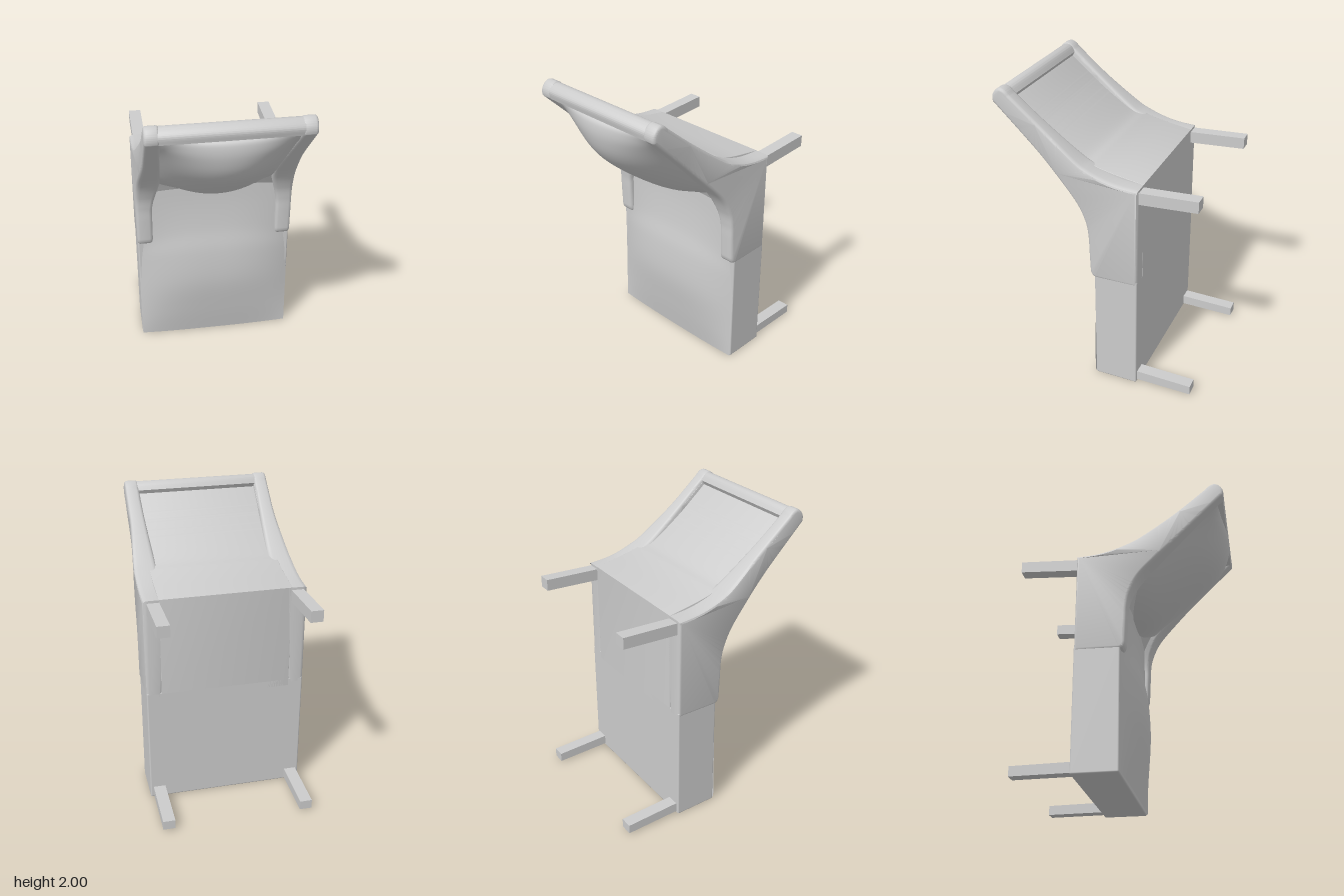
import * as THREE from 'three';
import { toCreasedNormals } from 'three/addons/utils/BufferGeometryUtils.js';
import { RoundedBoxGeometry } from 'three/addons/geometries/RoundedBoxGeometry.js';

const { lerp, smoothstep } = THREE.MathUtils;
const vecs = (pts) => pts.map(([z, y]) => new THREE.Vector2(z, y));
const spline = (pts) => new THREE.SplineCurve(vecs(pts));

export function createModel() {
  const group = new THREE.Group();
  const material = new THREE.MeshStandardMaterial({ color: 0xcccccc });
  const softMaterial = new THREE.MeshStandardMaterial({ color: 0xcccccc, side: THREE.DoubleSide });

  const add = (name, geometry, mat = material) => {
    const mesh = new THREE.Mesh(geometry, mat);
    mesh.name = name;
    group.add(mesh);
    return mesh;
  };

  // Side profile (z, y) swept across x, centred on x = 0
  const sweep = (shape, width, bevel) => {
    const geo = new THREE.ExtrudeGeometry(shape, {
      depth: width - 2 * bevel, bevelThickness: bevel, bevelSize: bevel,
      bevelOffset: -bevel, bevelSegments: 3, curveSegments: 24,
    });
    geo.translate(0, 0, bevel - width / 2);
    geo.rotateY(-Math.PI / 2);
    return geo;
  };

  // Cushion surface bulging from an edge curve at the sides to a centre curve
  const pillow = (edge, centre, halfWidth, power) => {
    const geo = new THREE.PlaneGeometry(2, 1, 32, 32);
    const pos = geo.attributes.position;
    for (let i = 0; i < pos.count; i++) {
      const u = pos.getX(i);
      const v = pos.getY(i) + 0.5;
      const e = edge.getPoint(v);
      const p = e.lerp(centre.getPoint(v), 1 - Math.abs(u) ** power);
      pos.setXYZ(i, u * halfWidth(v), p.y, p.x);
    }
    geo.computeVertexNormals();
    return geo;
  };

  // Seat block with its domed cushion
  const base = add('seatBase', new RoundedBoxGeometry(1.068, 0.83, 0.297, 3, 0.01));
  base.position.set(0, 0.42, -0.1535);
  add('seatCushion', pillow(
    spline([[0.002, 0.01], [0, 0.15], [-0.005, 0.4], [-0.012, 0.65], [-0.014, 0.8], [-0.01, 1.05], [-0.005, 1.3]]),
    spline([[0.012, 0.008], [0.05, 0.23], [0.08, 0.48], [0.068, 0.72], [0.035, 0.9], [0.015, 1.1], [0.01, 1.3]]),
    () => 0.532, 2.6), softMaterial);

  // Solid core behind seat and backrest, recessed between the side frames
  const core = new THREE.Shape();
  core.moveTo(-0.302, 0.78);
  core.lineTo(-0.02, 0.78);
  core.lineTo(-0.005, 1.2);
  core.splineThru(vecs([[0.08, 1.35], [0.22, 1.5], [0.43, 1.71], [0.63, 1.9]]));
  core.lineTo(0.58, 1.92);
  core.splineThru(vecs([[0.38, 1.76], [0.14, 1.605], [0.03, 1.565], [-0.1, 1.533], [-0.302, 1.499]]));
  add('backPanel', toCreasedNormals(sweep(core, 0.87, 0.002), 0.6));

  // Side frames: arm, side panel and back upright in one sweep
  const frame = new THREE.Shape();
  frame.moveTo(-0.302, 0.805);
  frame.lineTo(-0.02, 0.8);
  frame.quadraticCurveTo(0.02, 0.8, 0.026, 0.85);
  frame.splineThru(vecs([[0.032, 1], [0.036, 1.1], [0.055, 1.2], [0.117, 1.325],
    [0.25, 1.475], [0.46, 1.69], [0.68, 1.905]]));
  frame.quadraticCurveTo(0.69, 1.94, 0.672, 1.967);
  frame.quadraticCurveTo(0.65, 2, 0.62, 2);
  frame.quadraticCurveTo(0.59, 1.995, 0.567, 1.965);
  frame.splineThru(vecs([[0.355, 1.79], [0.13, 1.62], [0.03, 1.565], [-0.08, 1.527], [-0.18, 1.507], [-0.302, 1.498]]));
  frame.closePath();

  for (const s of [1, -1]) {
    const geo = sweep(frame, 0.1, 0.02);
    const pos = geo.attributes.position;
    for (let i = 0; i < pos.count; i++) {
      const y = pos.getY(i);
      const t = 0.5 + (s * pos.getX(i)) / 0.1;
      const outer = lerp(0.537, 0.503, smoothstep(pos.getZ(i), 0, 0.42));
      const inner = y < 1.4
        ? lerp(0.43, 0.375, smoothstep(y, 1.05, 1.36))
        : lerp(0.375, 0.41, smoothstep(y, 1.4, 1.95));
      pos.setX(i, s * lerp(inner, outer, t));
    }
    add(s > 0 ? 'leftSideFrame' : 'rightSideFrame', toCreasedNormals(geo, 0.6));
  }

  // Rounded rail across the top of the back
  const rail = new THREE.Shape();
  rail.moveTo(0.6, 1.875);
  rail.lineTo(0.675, 1.9);
  rail.splineThru(vecs([[0.682, 1.945], [0.662, 1.975], [0.625, 1.993], [0.59, 1.983], [0.562, 1.945]]));
  rail.closePath();
  add('topRail', toCreasedNormals(sweep(rail, 0.85, 0.002), 0.7));

  // Backrest cushion with a deep rounded belly
  add('backCushion', pillow(
    spline([[0.09, 1.325], [0.17, 1.405], [0.25, 1.49], [0.36, 1.6], [0.46, 1.7], [0.56, 1.8], [0.61, 1.85], [0.645, 1.9]]),
    spline([[0, 1.195], [0.14, 1.245], [0.33, 1.37], [0.54, 1.54], [0.64, 1.66], [0.682, 1.78], [0.68, 1.87], [0.65, 1.9]]),
    (v) => lerp(0.385, 0.415, v), 2), softMaterial);

  // Four tapered legs pointing backward
  const leg = (name, s, y0, y1, tipY0, tipY1) => {
    const geo = new THREE.BoxGeometry(0.082, 1, 0.4);
    const pos = geo.attributes.position;
    for (let i = 0; i < pos.count; i++) {
      const tip = pos.getZ(i) < 0;
      const top = pos.getY(i) > 0;
      pos.setY(i, tip ? (top ? tipY1 : tipY0) : (top ? y1 : y0));
    }
    geo.translate(s * 0.472, 0, -0.482);
    geo.computeVertexNormals();
    add(name, geo);
  };
  for (const s of [1, -1]) {
    const side = s > 0 ? 'left' : 'right';
    leg(side + 'UpperLeg', s, 1.4, 1.48, 1.425, 1.502);
    leg(side + 'LowerLeg', s, 0.02, 0.088, 0.016, 0.08);
  }
  return group;
}
